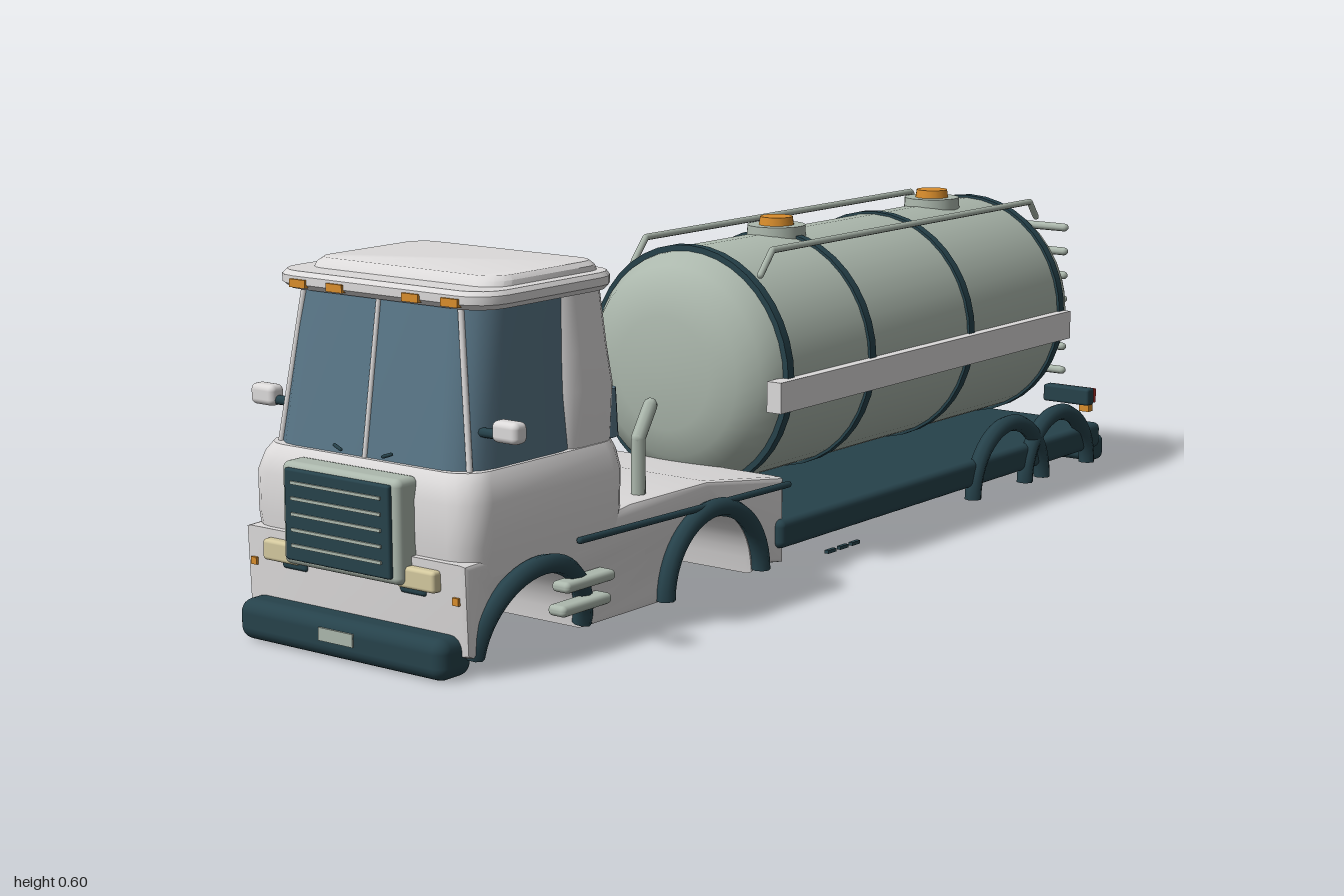
import * as THREE from 'three';
import { toCreasedNormals } from 'three/addons/utils/BufferGeometryUtils.js';
import { RoundedBoxGeometry } from 'three/addons/geometries/RoundedBoxGeometry.js';

const mat = (name, color) => Object.assign(new THREE.MeshStandardMaterial({ color }), { name });
const V = (x, y, z) => new THREE.Vector3(x, y, z);

// Closed loft through rounded rectangles: [y, halfWidth, zBack, zFront, cornerRadius]
function loft(sections) {
  const pos = [], idx = [], per = 5, n = per * 4;
  for (const [y, hw, zb, zf, r] of sections) {
    const cz = (zb + zf) / 2, hz = (zf - zb) / 2;
    for (let c = 0; c < 4; c++) {
      const sx = c === 0 || c === 3 ? 1 : -1, sz = c < 2 ? -1 : 1;
      for (let k = 0; k < per; k++) {
        const a = (c + k / (per - 1)) * Math.PI / 2;
        pos.push(sx * (hw - r) + r * Math.cos(a), y, cz + sz * (hz - r) - r * Math.sin(a));
      }
    }
  }
  const last = (sections.length - 1) * n;
  for (let s = 0; s < last; s += n) {
    for (let i = 0; i < n; i++) {
      const j = (i + 1) % n;
      idx.push(s + i, s + j, s + n + j, s + i, s + n + j, s + n + i);
    }
  }
  for (let i = 1; i < n - 1; i++) idx.push(0, i + 1, i, last, last + i, last + i + 1);
  const g = new THREE.BufferGeometry();
  g.setAttribute('position', new THREE.Float32BufferAttribute(pos, 3));
  g.setIndex(idx);
  return toCreasedNormals(g, 0.6);
}

export function createModel() {
  const white = mat('white paint', 0xdcdada), dark = mat('dark trim', 0x26424b);
  const glass = mat('blue glass', 0x587586), steel = mat('tank grey green', 0xacb8ad);
  const orange = mat('amber', 0xd98d2c), red = mat('red lens', 0xb5322b), tan = mat('cream lens', 0xd3c89e);
  dark.side = THREE.DoubleSide;

  const truck = new THREE.Group();
  truck.name = 'tankTruck';
  const add = (name, geo, m, x = 0, y = 0, z = 0) => {
    const mesh = new THREE.Mesh(geo, m);
    mesh.name = name;
    mesh.position.set(x, y, z);
    truck.add(mesh);
    return mesh;
  };
  const box = (name, m, w, h, d, x, y, z, r = 0) =>
    add(name, r ? new RoundedBoxGeometry(w, h, d, 3, r) : new THREE.BoxGeometry(w, h, d), m, x, y, z);
  const rod = (name, m, r, ...pts) => {
    const path = new THREE.CurvePath();
    for (let i = 1; i < pts.length; i++) path.add(new THREE.LineCurve3(pts[i - 1], pts[i]));
    for (const c of path.curves) {
      const len = c.getLength();
      const mesh = add(name, new THREE.CapsuleGeometry(r, len, 3, 8), m);
      mesh.position.copy(c.getPoint(0.5));
      mesh.quaternion.setFromUnitVectors(V(0, 1, 0), c.getTangent(0));
    }
  };

  // Lower body with two wheel arches cut through it
  const side = new THREE.Shape();
  side.moveTo(0.945, 0.04);
  side.lineTo(0.95, 0.17);
  side.lineTo(0.68, 0.18);
  side.lineTo(0.56, 0.195);
  side.lineTo(0.36, 0.195);
  side.lineTo(0.15, 0.165);
  side.lineTo(0.15, 0.03);
  side.lineTo(0.215, 0.04);
  side.absarc(0.355, 0.03, 0.125, 0.08, Math.PI, false);
  return finish();

  function finish() {
    // continue the underside outline forward along the front arch
    const outline = [...side.getPoints(16).slice(0, 8)];
    const arch = (cz) => {
      for (let i = 0; i <= 20; i++) {
        const a = (Math.PI * i) / 20;
        outline.push(new THREE.Vector2(cz - 0.125 * Math.cos(a), 0.03 + 0.125 * Math.sin(a)));
      }
    };
    arch(0.355);
    arch(0.8);
    const body = new THREE.ExtrudeGeometry(new THREE.Shape(outline), {
      depth: 0.446, bevelEnabled: true, bevelSize: 0.008, bevelThickness: 0.012, bevelSegments: 2,
    });
    body.translate(0, 0, -0.223);
    body.rotateY(-Math.PI / 2);
    add('lowerBody', toCreasedNormals(body, 0.6), white);

    // Cab shell, glazing and roof
    add('cabBase', loft([
      [0.15, 0.236, 0.57, 0.945, 0.05], [0.2, 0.24, 0.565, 0.95, 0.05], [0.265, 0.24, 0.562, 0.95, 0.05],
      [0.295, 0.23, 0.562, 0.943, 0.05], [0.31, 0.222, 0.565, 0.932, 0.05],
    ]), white);
    add('cabRear', loft([
      [0.3, 0.219, 0.565, 0.71, 0.045], [0.4, 0.222, 0.562, 0.71, 0.045],
      [0.46, 0.217, 0.57, 0.71, 0.045], [0.56, 0.206, 0.575, 0.71, 0.045],
    ]), white);
    add('cabGlass', loft([[0.305, 0.215, 0.65, 0.925, 0.06], [0.558, 0.203, 0.65, 0.885, 0.06]]), glass);
    add('rearWindow', loft([[0.312, 0.217, 0.552, 0.615, 0.03], [0.39, 0.212, 0.558, 0.6, 0.02]]), glass);
    add('roofVisor', loft([
      [0.553, 0.218, 0.572, 0.89, 0.05], [0.562, 0.228, 0.568, 0.9, 0.055],
      [0.575, 0.228, 0.568, 0.9, 0.055], [0.582, 0.222, 0.572, 0.892, 0.05],
    ]), white);
    add('roofCap', loft([[0.575, 0.203, 0.575, 0.85, 0.04], [0.59, 0.199, 0.58, 0.842, 0.04], [0.597, 0.19, 0.587, 0.832, 0.035]]), white);
    rod('windscreenPost', white, 0.004, V(0, 0.31, 0.926), V(0, 0.555, 0.887));

    // Grille
    box('grilleFrame', steel, 0.25, 0.165, 0.05, 0, 0.217, 0.96, 0.012);
    box('grillePanel', dark, 0.222, 0.146, 0.012, 0, 0.218, 0.986, 0.004);
    for (let i = 0; i < 5; i++) box('grilleSlat', steel, 0.19, 0.005, 0.006, 0, 0.17 + i * 0.025, 0.992);

    // Bumpers and plates
    box('frontBumper', dark, 0.44, 0.066, 0.075, 0, 0.033, 0.96, 0.022);
    box('frontPlate', steel, 0.073, 0.021, 0.006, 0, 0.039, 0.997);
    box('rearBumper', dark, 0.44, 0.052, 0.05, 0, 0.037, -0.964, 0.014);
    box('rearPlate', tan, 0.08, 0.024, 0.006, 0, 0.037, -0.99);

    // Rear bed
    box('bed', dark, 0.5, 0.05, 1.09, 0, 0.076, -0.375, 0.012);

    // Tank with domed ends
    const profile = [[0, -0.92], [0.1, -0.92], [0.15, -0.905], [0.185, -0.88], [0.206, -0.845], [0.213, -0.81],
      [0.213, 0.085], [0.206, 0.115], [0.185, 0.145], [0.15, 0.168], [0.1, 0.18], [0, 0.18]];
    const tank = new THREE.LatheGeometry(profile.map(([r, z]) => new THREE.Vector2(r, z)), 40);
    tank.rotateX(Math.PI / 2);
    add('tank', toCreasedNormals(tank, 0.45), steel, 0, 0.333, 0);
    for (const z of [0.1, -0.152, -0.482, -0.81]) {
      const r = 0.218;
      const band = new THREE.CylinderGeometry(r, r, 0.018, 40);
      band.rotateX(Math.PI / 2);
      add('tankBand', band, dark, 0, 0.333, z);
    }
    for (const z of [-0.155, -0.673]) {
      add('hatchCollar', new THREE.CylinderGeometry(0.053, 0.055, 0.04, 24), steel, 0, 0.54, z);
      add('hatchCap', new THREE.CylinderGeometry(0.03, 0.033, 0.02, 16), orange, 0, 0.565, z);
    }
    for (let i = 0; i < 7; i++) {
      const y = 0.2 + i * 0.048;
      rod('ladderRung', steel, 0.008, V(0.06, y, -0.905), V(0.165, y, -0.905));
    }

    // Everything that is mirrored left and right
    for (const s of [1, -1]) {
      rod('pillar', white, 0.005, V(s * 0.2, 0.31, 0.907), V(s * 0.165, 0.555, 0.882));
      rod('wiper', dark, 0.003, V(s * 0.045, 0.318, 0.932), V(s * 0.06, 0.323, 0.93));
      for (const x of [0.08, 0.16]) box('roofMarker', orange, 0.034, 0.013, 0.012, s * x, 0.564, 0.898);
      rod('mirrorArm', dark, 0.008, V(s * 0.2, 0.367, 0.88), V(s * 0.235, 0.367, 0.88));
      box('mirror', white, 0.052, 0.034, 0.03, s * 0.257, 0.374, 0.88, 0.01);

      // Front lamps
      box('headlampHousing', dark, 0.055, 0.03, 0.03, s * 0.126, 0.133, 0.945, 0.006);
      box('headlamp', tan, 0.078, 0.034, 0.04, s * 0.144, 0.147, 0.953, 0.006);
      box('cornerLampFrame', dark, 0.03, 0.03, 0.03, s * 0.203, 0.156, 0.937);
      box('cornerLamp', tan, 0.016, 0.022, 0.006, s * 0.199, 0.155, 0.954);
      box('sideMarker', orange, 0.012, 0.012, 0.012, s * 0.215, 0.121, 0.955);

      // Tail lamps
      box('tailLampHousing', dark, 0.105, 0.034, 0.026, s * 0.155, 0.142, -0.952, 0.005);
      box('tailLamp', red, 0.1, 0.028, 0.014, s * 0.155, 0.142, -0.968);
      box('rearMarker', orange, 0.022, 0.014, 0.016, s * 0.19, 0.117, -0.962);

      // Wheel arch trims; the front pair leans outward
      for (const [z, r, lean] of [[0.8, 0.127, 0.22], [0.355, 0.131, 0], [-0.575, 0.125, 0], [-0.755, 0.118, 0]]) {
        const trim = new THREE.TorusGeometry(r, 0.016, 8, 24, Math.PI);
        trim.rotateY(Math.PI / 2);
        add('archTrim', trim, dark, s * (lean ? 0.222 : 0.245), 0.028, z).rotation.z = -s * lean;
      }

      // Side rails, steps, pipes and tank handrails
      rod('bodyRail', dark, 0.006, V(s * 0.243, 0.17, 0.7), V(s * 0.248, 0.163, 0.15));
      box('tankSideRail', white, 0.03, 0.054, 0.97, s * 0.217, 0.31, -0.335);
      for (const [y, z] of [[0.107, 0.7], [0.071, 0.71]])
        box('step', steel, 0.036, 0.018, 0.12, s * 0.25, y, z, 0.008);
      rod('stackPipe', steel, 0.012, V(s * 0.2, 0.19, 0.5), V(s * 0.2, 0.295, 0.5), V(s * 0.2, 0.345, 0.468));
      rod('tankHandrail', steel, 0.006, V(s * 0.14, 0.507, 0.085), V(s * 0.14, 0.547, 0.05),
        V(s * 0.14, 0.547, -0.81), V(s * 0.14, 0.515, -0.835));
      for (const z of [0.025, -0.012, -0.049])
        box('sideStud', dark, 0.008, 0.006, 0.024, s * 0.25, 0.022, z);
    }
    return truck;
  }
}
